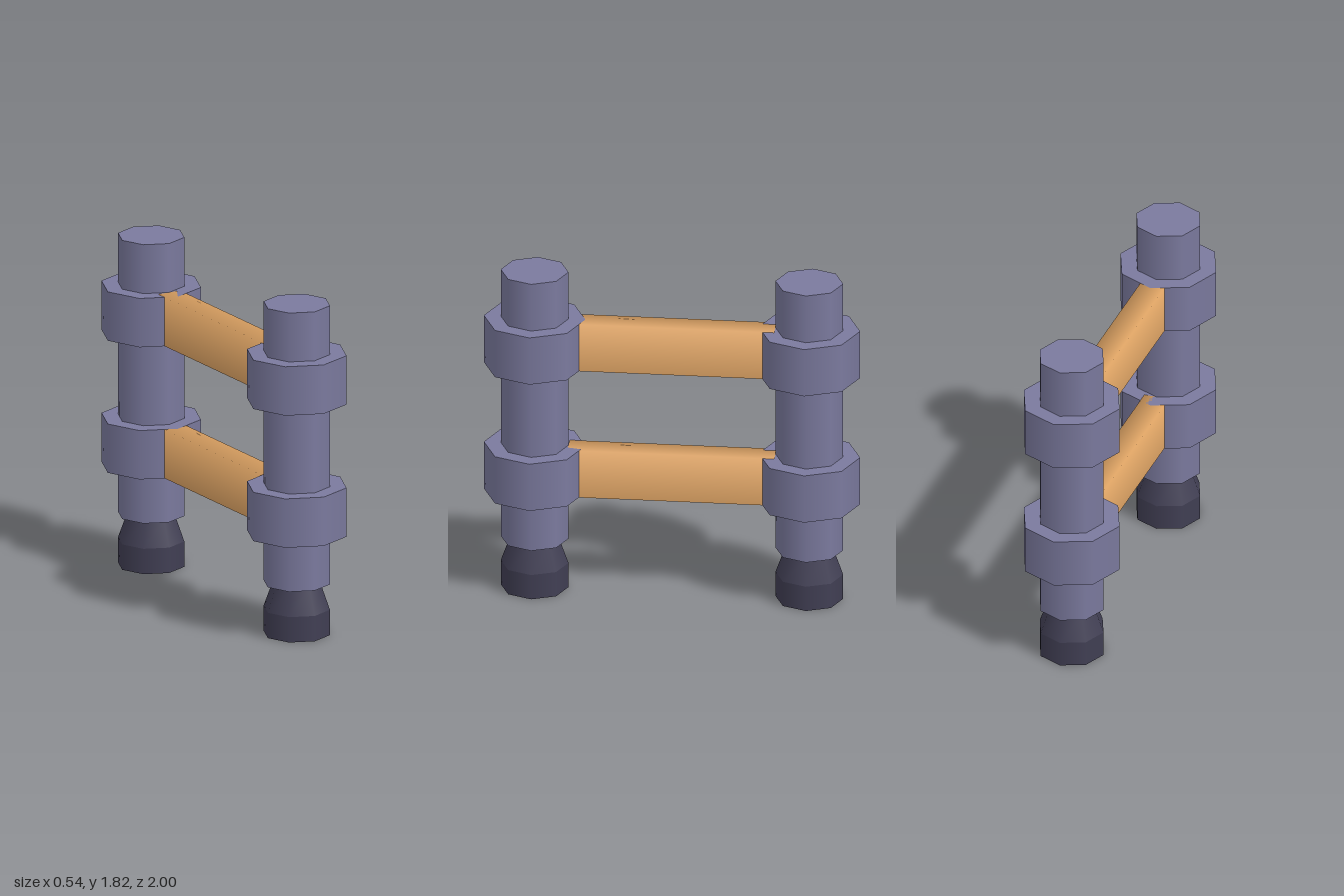
import * as THREE from 'three';

const SIDES = 8;

export function createModel() {
  const model = new THREE.Group();
  model.name = 'railing';

  const material = (name, color) => {
    const m = new THREE.MeshStandardMaterial({ color });
    m.name = name;
    return m;
  };
  const slate = material('slate purple', 0x7b7a9e);
  const dark = material('dark foot', 0x413f54);
  const wood = material('tan wood', 0xdca263);

  const add = (parent, name, geometry, mat, y) => {
    const mesh = new THREE.Mesh(geometry, mat);
    mesh.name = name;
    mesh.position.y = y;
    parent.add(mesh);
  };
  // Eight-sided drum between two heights
  const drum = (parent, name, rTop, rBottom, y0, y1, mat) =>
    add(parent, name, new THREE.CylinderGeometry(rTop, rBottom, y1 - y0, SIDES), mat, (y0 + y1) / 2);

  const railHeights = [[0.55, 0.82], [1.28, 1.55]];

  // Two posts, each with a dark foot and two collars
  for (const side of [1, -1]) {
    const post = new THREE.Group();
    post.name = side > 0 ? 'frontPost' : 'backPost';
    post.position.z = 0.73 * side;
    drum(post, 'shaft', 0.18, 0.18, 0.28, 1.82, slate);
    drum(post, 'footBase', 0.18, 0.18, 0, 0.14, dark);
    drum(post, 'footNeck', 0.13, 0.18, 0.14, 0.28, dark);
    for (const [y0, y1] of railHeights) drum(post, 'collar', 0.27, 0.27, y0, y1, slate);
    model.add(post);
  }

  // Rails, with normals softened along the upper edges
  for (const [y0, y1] of railHeights) {
    const rail = new THREE.BoxGeometry(0.135, y1 - y0, 1.1);
    const { position, normal } = rail.attributes;
    for (let i = 0; i < position.count; i++) {
      const isEnd = Math.abs(normal.getZ(i)) > 0.5;
      if (position.getY(i) > 0 && !isEnd) {
        normal.setXYZ(i, Math.sign(position.getX(i)) * Math.SQRT1_2, Math.SQRT1_2, 0);
      }
    }
    add(model, 'rail', rail, wood, (y0 + y1) / 2);
  }

  return model;
}
